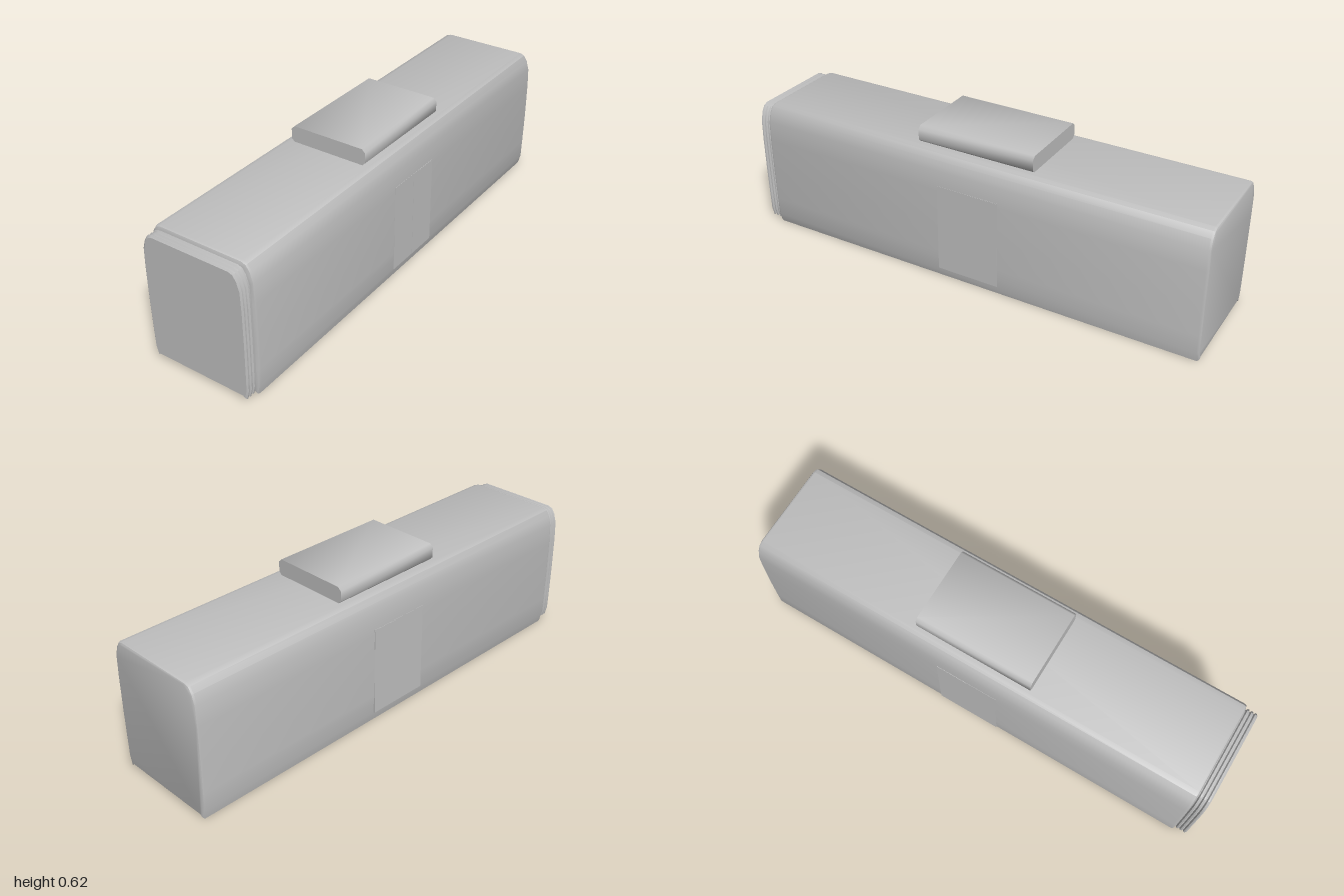
import * as THREE from 'three';
import { toCreasedNormals } from 'three/addons/utils/BufferGeometryUtils.js';

// Right half of the body section, from bottom to top
const HALF = [
  [0.208, 0.008], [0.216, 0], [0.226, 0.04], [0.228, 0.12], [0.23, 0.25], [0.23, 0.4],
  [0.227, 0.485], [0.215, 0.525], [0.2, 0.548], [0.18, 0.555],
];
const SECTION = [...HALF, ...HALF.map(([x, y]) => [-x, y]).reverse()];

// Section shrunk inward by d
const ring = (d) => SECTION.map(([x, y]) =>
  new THREE.Vector2(x * (1 - d / 0.23), 0.28 + (y - 0.28) * (1 - d / 0.277)));

// Skin a list of [z, inset] stations and close both ends
function loft(stations) {
  const pos = [];
  const rings = stations.map(([z, d]) => ring(d).map((p) => [p.x, p.y, z]));
  for (let i = 0; i < rings.length - 1; i++) {
    for (let j = 0; j < SECTION.length; j++) {
      const k = (j + 1) % SECTION.length;
      const a = rings[i][j], b = rings[i][k], c = rings[i + 1][k], e = rings[i + 1][j];
      pos.push(...a, ...b, ...c, ...a, ...c, ...e);
    }
  }
  const first = rings[0], last = rings[rings.length - 1];
  const faces = THREE.ShapeUtils.triangulateShape(ring(stations[0][1]), []);
  for (const [a, b, c] of faces) {
    pos.push(...first[a], ...first[c], ...first[b]);
    pos.push(...last[a], ...last[b], ...last[c]);
  }
  const geo = new THREE.BufferGeometry();
  geo.setAttribute('position', new THREE.Float32BufferAttribute(pos, 3));
  return toCreasedNormals(geo, 0.55);
}

export function createModel() {
  const group = new THREE.Group();
  const grey = new THREE.MeshStandardMaterial({ color: 0xbfbfbf });
  grey.name = 'light grey';

  const add = (name, geo) => {
    const mesh = new THREE.Mesh(geo, grey);
    mesh.name = name;
    group.add(mesh);
    return mesh;
  };

  // Long body with softened ends
  add('body', loft([[-1, 0.008], [-0.997, 0.003], [-0.99, 0], [0.938, 0], [0.946, 0.003], [0.95, 0.012]]));

  // Ribbed front collar
  const ribs = [[0.94, 0.016]];
  for (let i = 0; i < 3; i++) {
    const z = 0.952 + i * 0.016;
    ribs.push([z, 0.016], [z + 0.005, 0.01], [z + 0.011, 0.01]);
  }
  ribs.push([1, 0.016]);
  add('collar', loft(ribs));

  // Raised top block with chamfered long edges
  const w = 0.17, lo = 0.553, hi = 0.623, c = 0.014;
  const outline = new THREE.Shape([
    [-w + c, lo], [w - c, lo], [w, lo + c], [w, hi - c],
    [w - c, hi], [-w + c, hi], [-w, hi - c], [-w, lo + c],
  ].map(([x, y]) => new THREE.Vector2(x, y)));
  const block = new THREE.ExtrudeGeometry(outline, { depth: 0.505, bevelEnabled: false });
  block.translate(0, 0, -0.278);
  add('topBlock', toCreasedNormals(block, 0.9));

  // Thin side panels on both flanks
  for (const [side, s] of [['left', 1], ['right', -1]]) {
    add(side + 'Panel', new THREE.BoxGeometry(0.005, 0.38, 0.27)).position.set(s * 0.2278, 0.23, -0.025);
    add(side + 'PanelStrip', new THREE.BoxGeometry(0.005, 0.376, 0.135)).position.set(s * 0.2285, 0.23, -0.0905);
  }
  return group;
}
